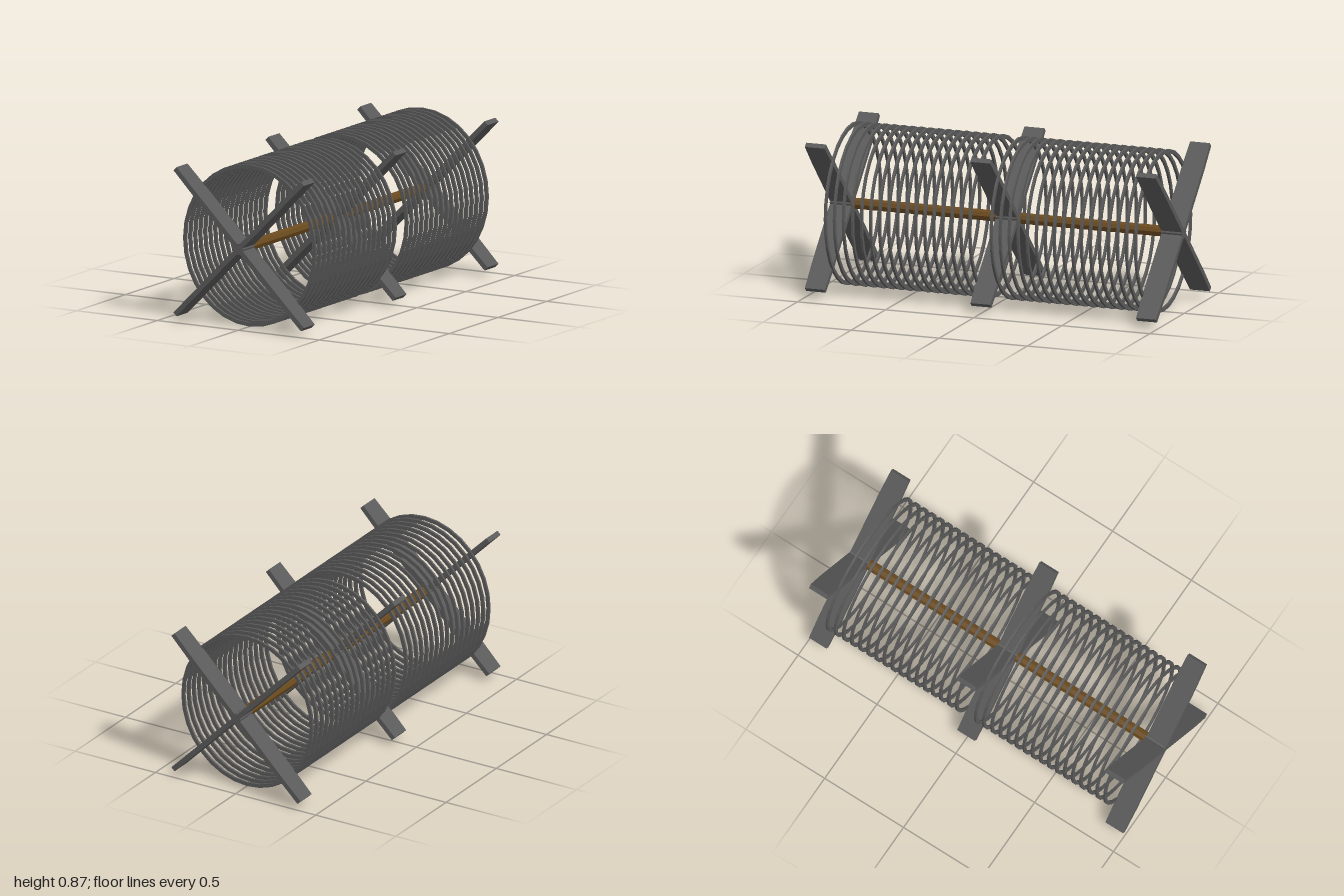
import * as THREE from 'three';

const CY = 0.437; // height of the central axis

export function createModel() {
  const model = new THREE.Group();
  const steel = new THREE.MeshStandardMaterial({ color: 0x5a5a5a, flatShading: true });
  const wood = new THREE.MeshStandardMaterial({ color: 0x6b4a1e, flatShading: true });

  function add(name, geometry, material, z, parent = model) {
    const mesh = new THREE.Mesh(geometry, material);
    mesh.name = name;
    mesh.position.set(0, CY, z);
    parent.add(mesh);
    return mesh;
  }

  // Slightly oval hoop with a rectangular section, axis along z
  const outer = 0.437, inner = 0.416, h = 0.006;
  const section = [[outer, -h], [outer, h], [inner, h], [inner, -h], [outer, -h]]
    .map(([r, y]) => new THREE.Vector2(r, y));
  const hoopGeometry = new THREE.LatheGeometry(section, 32).rotateX(Math.PI / 2).scale(0.41 / outer, 1, 1);

  // Two banks of hoops, one each side of the middle cross
  const perBank = 17;
  for (const side of [1, -1]) {
    const bank = new THREE.Group();
    bank.name = side > 0 ? 'frontHoops' : 'backHoops';
    model.add(bank);
    for (let i = 0; i < perBank; i++) {
      const z = side * THREE.MathUtils.lerp(0.0605, 0.88, i / (perBank - 1));
      add('hoop', hoopGeometry, steel, z, bank);
    }
  }

  // Flat bar, a little narrower towards its ends
  const thick = 0.027;
  const outline = [[-0.556, -0.056], [-0.4, -0.06], [0.4, -0.06], [0.556, -0.056],
    [0.556, 0.056], [0.4, 0.06], [-0.4, 0.06], [-0.556, 0.056]]
    .map(([x, y]) => new THREE.Vector2(x, y));
  const barGeometry = new THREE.ExtrudeGeometry(new THREE.Shape(outline), { depth: thick, bevelEnabled: false })
    .translate(0, 0, -thick / 2).rotateX(Math.PI / 2);

  // Three crosses of two diagonal bars around a hub
  const hubGeometry = new THREE.CylinderGeometry(0.031, 0.031, 0.12, 8).rotateX(Math.PI / 2);
  for (const z of [-0.94, 0, 0.94]) {
    const cross = new THREE.Group();
    cross.name = 'crossSupport';
    model.add(cross);
    for (const angle of [Math.PI / 4, -Math.PI / 4]) {
      add('crossBar', barGeometry, steel, z, cross).rotation.z = angle;
    }
    add('hub', hubGeometry, steel, z, cross);
  }

  // Central axle between the end crosses
  add('axle', new THREE.CylinderGeometry(0.03, 0.03, 1.8, 8).rotateX(Math.PI / 2), wood, 0);

  return model;
}
